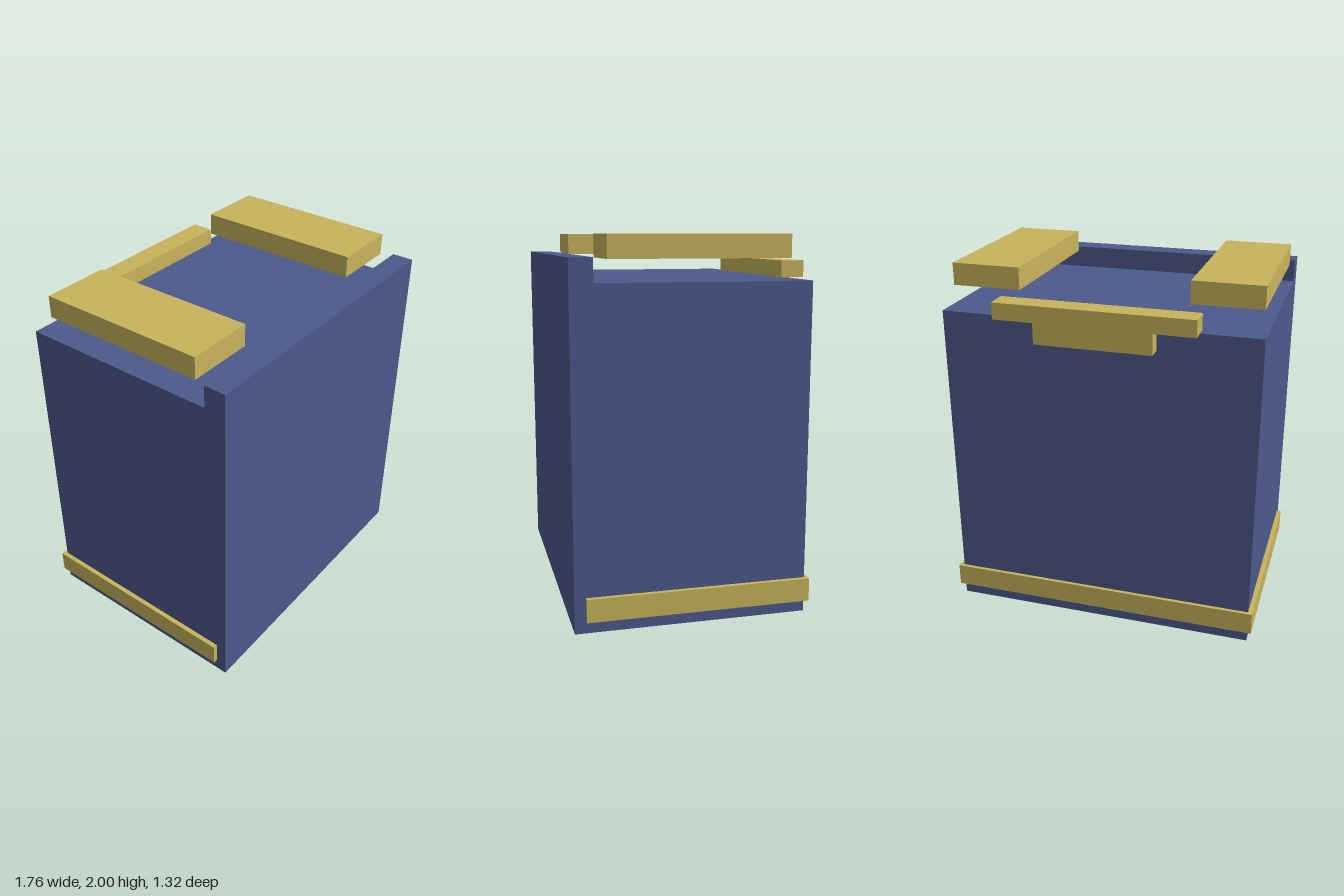
import * as THREE from 'three';

export function createModel() {
  const model = new THREE.Group();
  const blue = new THREE.MeshStandardMaterial({ name: 'blue', color: 0x4c5a8c });
  const gold = new THREE.MeshStandardMaterial({ name: 'gold', color: 0xc8b45c });

  // Box given by its limits on each axis
  const box = (name, [x0, x1], [y0, y1], [z0, z1]) => {
    const mesh = new THREE.Mesh(new THREE.BoxGeometry(x1 - x0, y1 - y0, z1 - z0), gold);
    mesh.position.set((x0 + x1) / 2, (y0 + y1) / 2, (z0 + z1) / 2);
    mesh.name = name;
    model.add(mesh);
  };

  // Body: side profile with a raised front lip, extruded across the width
  const halfWidth = 0.855;
  const profile = new THREE.Shape([
    [-0.66, 0], [0.58, 0], [0.58, 1.768], [-0.54, 1.768], [-0.54, 1.89], [-0.66, 1.89],
  ].map(([x, y]) => new THREE.Vector2(x, y)));
  const bodyGeometry = new THREE.ExtrudeGeometry(profile, { depth: 2 * halfWidth, bevelEnabled: false });
  bodyGeometry.translate(0, 0, -halfWidth).rotateY(Math.PI / 2);
  const body = new THREE.Mesh(bodyGeometry, blue);
  body.name = 'body';
  model.add(body);

  // Shoulder plates and lower side trim, mirrored
  for (const [side, s] of [['left', 1], ['right', -1]]) {
    const span = (a, b) => (s > 0 ? [a, b] : [-b, -a]);
    box(side + 'ShoulderPlate', span(0.457, 0.832), [1.88, 2], [-0.47, 0.47]);
    box(side + 'Trim', span(0.85, 0.88), [0.065, 0.19], [-0.6, 0.6]);
  }

  // Lower trim across the back
  box('backTrim', [-0.85, 0.85], [0.065, 0.19], [-0.6, -0.57]);

  // Back latch: wide bar with a narrower tab hanging below
  box('latchBar', [-0.535, 0.535], [1.77, 1.86], [-0.66, -0.535]);
  box('latchTab', [-0.315, 0.315], [1.657, 1.77], [-0.66, -0.57]);

  return model;
}
